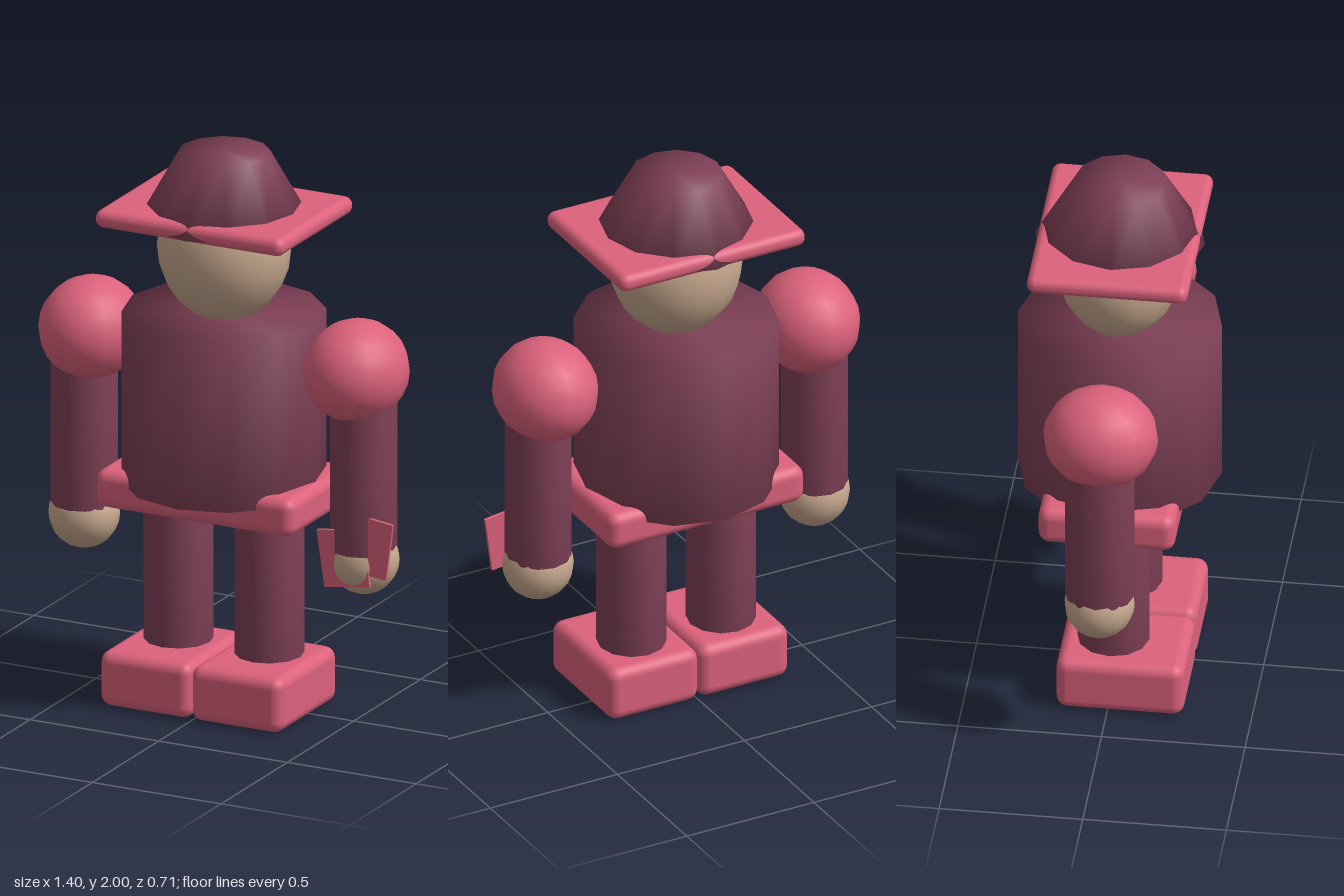
import * as THREE from 'three';
import { mergeVertices } from 'three/addons/utils/BufferGeometryUtils.js';
import { RoundedBoxGeometry } from 'three/addons/geometries/RoundedBoxGeometry.js';

const material = (name, color) => {
  const m = new THREE.MeshStandardMaterial({ color });
  m.name = name;
  return m;
};

// Cylinder whose sides and caps share soft normals
function softCylinder(top, bottom, height, sides = 12) {
  const g = new THREE.CylinderGeometry(top, bottom, height, sides);
  g.deleteAttribute('uv');
  g.deleteAttribute('normal');
  const soft = mergeVertices(g, 1e-4);
  soft.computeVertexNormals();
  return soft;
}

export function createModel() {
  const plum = material('plum cloth', 0x7f4056);
  const rose = material('rose trim', 0xdc627c);
  const skin = material('tan skin', 0xc8a98f);

  const model = new THREE.Group();
  model.name = 'figure';

  const add = (name, geometry, mat, x, y, z) => {
    const mesh = new THREE.Mesh(geometry, mat);
    mesh.name = name;
    mesh.position.set(x, y, z);
    model.add(mesh);
    return mesh;
  };
  const ellipsoid = (rx, ry, rz) => new THREE.SphereGeometry(1, 16, 12).scale(rx, ry, rz);
  const roundedBox = (w, h, d, r) => new RoundedBoxGeometry(w, h, d, 3, r);

  const cx = -0.004; // body axis, shifted slightly by the cards on one side

  // Hat and head
  add('hatCrown', softCylinder(0.16, 0.296, 0.24), plum, cx, 1.88, 0);
  add('hatBrim', roundedBox(0.73, 0.065, 0.56, 0.03), rose, cx, 1.778, 0);
  add('head', ellipsoid(0.236, 0.26, 0.217), skin, cx, 1.65, 0);

  // Body
  add('torso', softCylinder(0.355, 0.355, 0.62), plum, cx, 1.11, 0);
  add('belt', roundedBox(0.77, 0.14, 0.476, 0.04), rose, cx, 0.78, 0);

  // Limbs, mirrored about the body axis
  for (const [side, s] of [['left', 1], ['right', -1]]) {
    add(side + 'Shoulder', ellipsoid(0.181, 0.181, 0.2), rose, cx + s * 0.515, 1.28, 0);
    add(side + 'Arm', softCylinder(0.115, 0.115, 0.64).scale(1, 1, 1.05), plum, cx + s * 0.543, 0.96, 0);
    add(side + 'Hand', ellipsoid(0.125, 0.125, 0.122), skin, cx + s * 0.543, 0.6, 0);
    add(side + 'Leg', softCylinder(0.12, 0.12, 0.6).scale(1, 1, 1.04), plum, cx + s * 0.176, 0.45, 0);
    add(side + 'Foot', roundedBox(0.354, 0.2, 0.445, 0.04), rose, cx + s * 0.177, 0.1, 0.043);
  }

  // Two thin cards held in the left hand
  const card = new THREE.BoxGeometry(0.178, 0.207, 0.012);
  add('innerCard', card, rose, 0.51, 0.624, 0.094).rotation.z = 0.15;
  add('outerCard', card, rose, 0.598, 0.68, 0.09).rotation.z = -0.13;

  return model;
}
